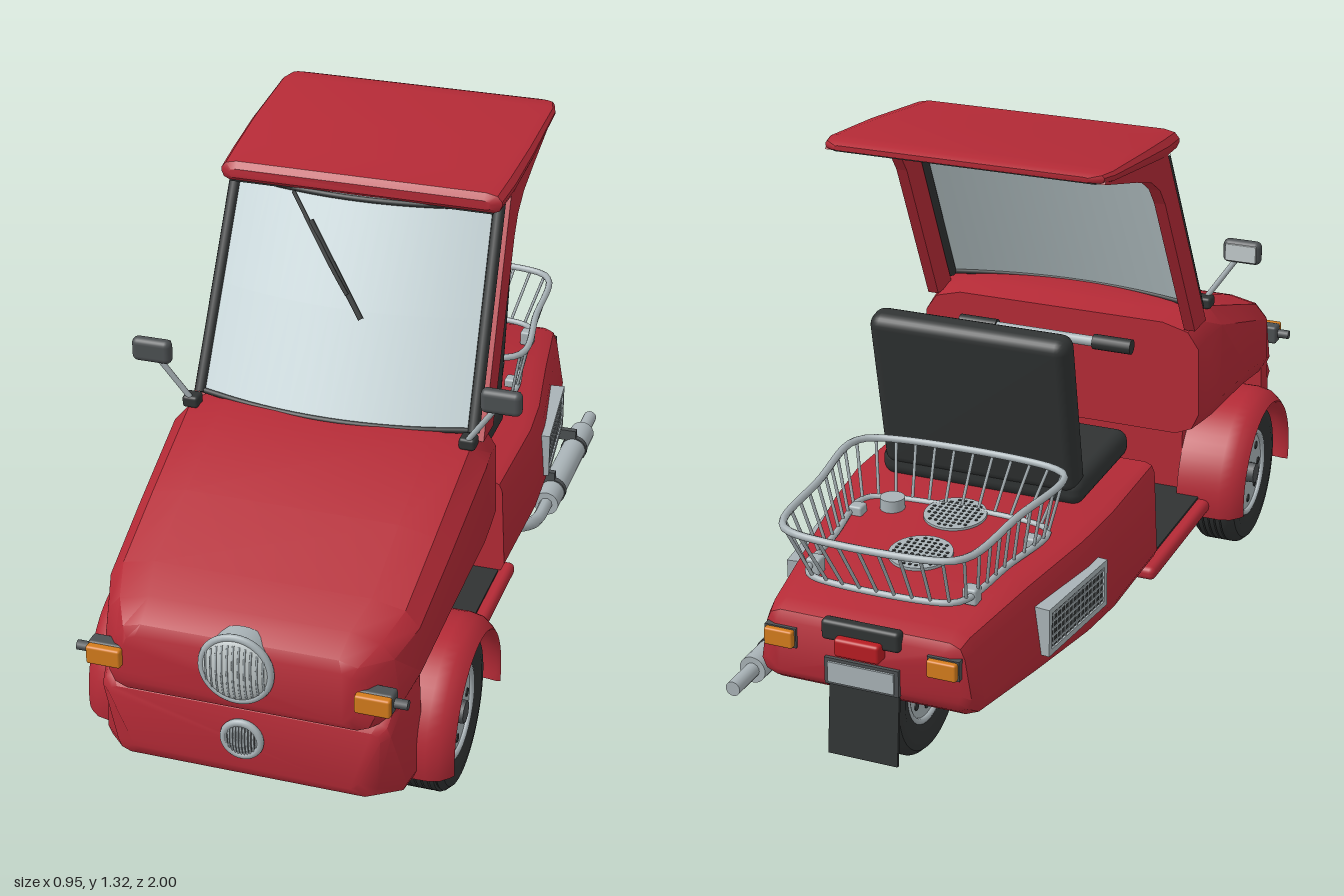
import * as THREE from 'three';
import { toCreasedNormals } from 'three/addons/utils/BufferGeometryUtils.js';
import { RoundedBoxGeometry } from 'three/addons/geometries/RoundedBoxGeometry.js';

const mat = (name, color, side = THREE.FrontSide) => {
  const m = new THREE.MeshStandardMaterial({ color, side });
  m.name = name;
  return m;
};
const V = (x, y, z) => new THREE.Vector3(x, y, z);

// Cross-section: rectangle with eased corners, counter-clockwise seen from the front
function ring(z, w, yb, yt, c, wt = w, k = 1) {
  const half = [[w - c, yb], [w - 0.3 * c, yb + 0.3 * c], [w, yb + c],
    [wt, yt - c], [wt - 0.3 * c * k, yt - 0.3 * c], [wt - c * k, yt]];
  return [...half, ...half.slice().reverse().map(([x, y]) => [-x, y])].map(([x, y]) => V(x, y, z));
}

// Closed skin over cross-sections listed from front to back
function loft(sections, crease = 0.6) {
  const n = sections[0].length, pos = [], idx = [];
  sections.forEach(s => s.forEach(p => pos.push(p.x, p.y, p.z)));
  for (let i = 0; i < sections.length - 1; i++) for (let j = 0; j < n; j++) {
    const a = i * n + j, b = i * n + (j + 1) % n;
    idx.push(a, a + n, b, b, a + n, b + n);
  }
  const last = (sections.length - 1) * n;
  for (let j = 1; j < n - 1; j++) idx.push(0, j, j + 1, last, last + j + 1, last + j);
  const g = new THREE.BufferGeometry();
  g.setAttribute('position', new THREE.Float32BufferAttribute(pos, 3));
  g.setIndex(idx);
  return toCreasedNormals(g, crease);
}

export function createModel() {
  const model = new THREE.Group();
  model.name = 'threeWheeledScooter';
  const red = mat('bodyRed', 0xb42a36, THREE.DoubleSide), dark = mat('blackRubber', 0x303333);
  const silver = mat('silver', 0xa8b2b6), glass = mat('windscreenGlass', 0xc6d5d8, THREE.DoubleSide);
  const orange = mat('indicatorOrange', 0xd47c1c), tail = mat('tailRed', 0xb81c22);
  const grey = mat('darkGrey', 0x4c5052), lens = mat('lensGrey', 0xc2cacb);

  const add = (name, geo, material, x = 0, y = 0, z = 0, rx = 0, ry = 0, rz = 0) => {
    const m = new THREE.Mesh(geo, material);
    m.name = name;
    m.position.set(x, y, z);
    m.rotation.set(rx, ry, rz);
    model.add(m);
    return m;
  };
  const box = (w, h, d) => new THREE.BoxGeometry(w, h, d);
  const soft = (w, h, d, r) => new RoundedBoxGeometry(w, h, d, 3, r);
  const cyl = (r, h, n = 24, r2 = r) => new THREE.CylinderGeometry(r, r2, h, n);
  const tube = (name, pts, r, m, closed = false) => add(name, new THREE.TubeGeometry(
    new THREE.CatmullRomCurve3(pts, closed, 'centripetal'), closed ? 80 : 4 * pts.length, r, 8, closed), m);
  const H = Math.PI / 2;

  // Front cowl and lower nose
  add('frontCowl', loft([
    ring(0.968, 0.27, 0.38, 0.51, 0.03), ring(0.955, 0.31, 0.36, 0.535, 0.04, 0.29, 1.5),
    ring(0.89, 0.35, 0.35, 0.567, 0.05, 0.335, 2), ring(0.80, 0.37, 0.38, 0.602, 0.055, 0.365, 2),
    ring(0.60, 0.38, 0.415, 0.675, 0.06, 0.375, 2), ring(0.34, 0.385, 0.435, 0.768, 0.065, 0.385, 2),
    ring(0.26, 0.38, 0.445, 0.757, 0.06, 0.375, 1.6), ring(0.2, 0.375, 0.45, 0.745, 0.06, 0.37, 1.6)]), red);
  add('lowerNose', loft([
    ring(0.945, 0.27, 0.19, 0.35, 0.02, 0.32), ring(0.93, 0.31, 0.165, 0.37, 0.03, 0.34),
    ring(0.87, 0.36, 0.148, 0.42, 0.03, 0.35), ring(0.78, 0.37, 0.145, 0.44, 0.03, 0.36)]), red);
  add('footwellBulkhead', box(0.54, 0.31, 0.42), red, 0, 0.305, 0.6);

  // Floor and mat
  add('floorPan', soft(0.72, 0.035, 0.48, 0.015), red, 0, 0.183, 0.17);
  add('floorMat', box(0.66, 0.006, 0.4), dark, 0, 0.203, 0.19);

  // Rear body
  add('rearBody', loft([
    ring(-0.01, 0.345, 0.2, 0.46, 0.025, 0.335), ring(-0.3, 0.352, 0.2, 0.465, 0.035, 0.342),
    ring(-0.45, 0.345, 0.203, 0.46, 0.045, 0.33), ring(-0.68, 0.31, 0.21, 0.448, 0.05, 0.29),
    ring(-0.92, 0.27, 0.225, 0.43, 0.045, 0.25), ring(-0.955, 0.255, 0.25, 0.415, 0.035, 0.24),
    ring(-0.967, 0.235, 0.27, 0.395, 0.025, 0.22)]), red);

  // Front fenders
  const fenderProfile = [[0.2, 0.27], [0.232, 0.27], [0.232, 0.385], [0.226, 0.415], [0.21, 0.436],
    [0.2, 0.445], [0.195, 0.435], [0.2, 0.41], [0.2, 0.27]].map(p => new THREE.Vector2(...p));
  for (const s of [1, -1]) {
    const phi = s > 0 ? Math.PI - 0.18 : -0.18;
    add('frontFender', toCreasedNormals(new THREE.LatheGeometry(fenderProfile, 32, phi, Math.PI + 0.36), 0.7),
      red, 0, 0.19, 0.585, 0, 0, -s * H);
  }

  // Wheels: grooved tyre, silver rim with holes, dark hub
  const tread = [[0.11, -0.05], [0.15, -0.062], [0.175, -0.058], [0.187, -0.045]];
  for (let i = -2; i <= 2; i++) {
    const x = i * 0.016;
    tread.push([0.19, x - 0.006], [0.19, x + 0.006], [0.183, x + 0.007], [0.183, x + 0.009]);
  }
  tread.push([0.187, 0.045], [0.175, 0.058], [0.15, 0.062], [0.11, 0.05]);
  const tyre = toCreasedNormals(new THREE.LatheGeometry(tread.map(p => new THREE.Vector2(...p)), 48), 0.6);
  for (const [x, z] of [[0.35, 0.585], [-0.35, 0.585], [0, -0.735]]) {
    add('tyre', tyre, dark, x, 0.19, z, 0, 0, -H);
    add('rim', cyl(0.113, 0.09, 40), silver, x, 0.19, z, 0, 0, -H);
    add('hub', cyl(0.028, 0.13, 8), grey, x, 0.19, z, 0, 0, -H);
    for (const s of [1, -1]) {
      add('rimEdge', new THREE.TorusGeometry(0.11, 0.008, 8, 40), silver, x + s * 0.047, 0.19, z, 0, H);
      for (let i = 0; i < 8; i++) {
        const a = i * Math.PI / 4;
        add('rimHole', cyl(0.011, 0.004, 10), dark, x + s * 0.045,
          0.19 + 0.078 * Math.sin(a), z + 0.078 * Math.cos(a), 0, 0, H);
      }
    }
  }

  // Curved windscreen and its dark frame
  const screen = (u, v, out = 0) => V(u * (0.335 - 0.015 * v), 0.76 + 0.475 * v, 0.345 - 0.245 * v - 0.055 * u * u + out);
  const pane = new THREE.PlaneGeometry(2, 1, 20, 2), pp = pane.attributes.position;
  for (let i = 0; i < pp.count; i++) {
    const p = screen(pp.getX(i), pp.getY(i) + 0.5);
    pp.setXYZ(i, p.x, p.y, p.z);
  }
  pane.computeVertexNormals();
  add('windscreen', pane, glass);
  const across = [-1, -0.6, -0.2, 0.2, 0.6, 1];
  for (const v of [0.01, 0.985]) tube('screenSeal', across.map(u => screen(u, v)), 0.007, dark);
  tube('wiperArm', [screen(-0.5, 0.98, 0.012), screen(-0.1, 0.68, 0.02), screen(0.03, 0.58, 0.02)], 0.005, dark);
  tube('wiperBlade', [screen(-0.33, 0.87, 0.012), screen(0.15, 0.475, 0.012)], 0.007, dark);

  // Pillars flaring back under the roof, with side seals
  const side = new THREE.Shape([[0.28, 0.735], [0.195, 0.735], [-0.01, 1.13], [-0.045, 1.175], [-0.1, 1.21],
    [-0.2, 1.242], [-0.4, 1.298], [-0.39, 1.31], [0, 1.27], [0.02, 1.235]].map(p => new THREE.Vector2(...p)));
  for (const s of [1, -1]) {
    const g = new THREE.ExtrudeGeometry(side, { depth: 0.028, bevelEnabled: false });
    g.translate(0, 0, -0.014).rotateY(-H);
    const p = g.attributes.position;
    for (let i = 0; i < p.count; i++) p.setX(i, p.getX(i) + s * (0.347 - 0.035 * (p.getY(i) - 0.74)));
    g.computeVertexNormals();
    add('pillar', g, red);
    tube('sideSeal', [screen(s * 1.01, 0), screen(s * 1.01, 1)], 0.015, dark);
  }

  // Roof and its dark lining
  const roofRings = [[0.108, 0.32, 1.243, 1.265], [0.095, 0.343, 1.232, 1.28], [0, 0.35, 1.238, 1.29],
    [-0.15, 0.354, 1.263, 1.305], [-0.36, 0.352, 1.294, 1.322], [-0.4, 0.34, 1.3, 1.322], [-0.417, 0.31, 1.304, 1.316]];
  add('roof', loft(roofRings.map(([z, w, b, t]) => ring(z, w, b, t, (t - b) * 0.4, w, 2))), red);
  add('roofLining', loft(roofRings.slice(1, 6).map(([z, w, b]) => ring(z, w - 0.02, b - 0.004, b + 0.003, 0.002))), dark);

  // Lamps with ribbed lenses
  const lamp = (name, y, r, z, m, dome) => {
    const d = add(name, new THREE.SphereGeometry(r, 32, 8, 0, Math.PI * 2, 0, H), m, 0, y, z, H);
    d.scale.y = dome / r;
    add(name + 'Rim', new THREE.TorusGeometry(r, 0.009, 10, 40), silver, 0, y, z);
    add(name + 'Shell', cyl(r, 0.05, 32), silver, 0, y, z - 0.026, H);
    for (let i = -5; i <= 5; i++) {
      const x = i * r / 6, h = Math.sqrt(r * r - x * x) * 0.85;
      const at = t => V(x, y + t * h, z + dome * Math.sqrt(Math.max(0, 1 - (x * x + t * t * h * h) / (r * r))));
      tube(name + 'Rib', [-1, -0.5, 0, 0.5, 1].map(at), 0.0025, silver);
    }
  };
  lamp('headlight', 0.478, 0.08, 0.975, lens, 0.022);
  lamp('lowerLamp', 0.276, 0.043, 0.952, grey, 0.01);

  // Front indicators and mirrors
  for (const s of [1, -1]) {
    add('indicatorLens', soft(0.082, 0.046, 0.022, 0.006), orange, s * 0.313, 0.448, 0.973);
    add('indicatorHousing', soft(0.088, 0.05, 0.04, 0.008), grey, s * 0.312, 0.448, 0.946);
    add('indicatorStub', cyl(0.012, 0.04, 10), grey, s * 0.366, 0.448, 0.95, 0, 0, H);
    add('mirrorMount', soft(0.04, 0.03, 0.04, 0.008), dark, s * 0.34, 0.762, 0.335);
    tube('mirrorStalk', [V(s * 0.34, 0.77, 0.345), V(s * 0.41, 0.875, 0.365)], 0.007, silver);
    add('mirrorHousing', soft(0.098, 0.06, 0.032, 0.015), grey, s * 0.424, 0.896, 0.367);
    add('mirrorGlass', soft(0.08, 0.044, 0.006, 0.002), lens, s * 0.424, 0.896, 0.35);
  }

  // Steering column and handlebar
  tube('steeringColumn', [V(0, 0.19, 0.355), V(0, 0.7, 0.105)], 0.02, grey);
  add('handlebar', cyl(0.013, 0.3, 16), silver, 0, 0.708, 0.102, 0, 0, H);
  for (const s of [1, -1]) add('grip', cyl(0.019, 0.1, 16), dark, s * 0.18, 0.708, 0.102, 0, 0, H);

  // Seat
  add('seatCushion', soft(0.52, 0.072, 0.34, 0.03), dark, 0, 0.495, -0.15);
  add('seatBack', soft(0.5, 0.42, 0.075, 0.03), dark, 0, 0.7, -0.325, -0.195);

  // Wire basket
  const loop = (y, wf, zf, wb, zb, c) => {
    const half = [[wf - c, zf], [wf, zf - c], [wb, zb + c], [wb - c, zb]];
    const mid = [half[0], half[1], [(wf + wb) / 2, (zf + zb) / 2], half[2], half[3]];
    return [...mid, ...mid.slice().reverse().map(([x, z]) => [-x, z])].map(([x, z]) => V(x, y, z));
  };
  const topLoop = loop(0.597, 0.268, -0.405, 0.225, -0.93, 0.04), lowLoop = loop(0.462, 0.238, -0.44, 0.192, -0.87, 0.03);
  tube('basketTopRail', topLoop, 0.009, silver, true);
  tube('basketLowerRail', lowLoop, 0.008, silver, true);
  const topCurve = new THREE.CatmullRomCurve3(topLoop, true, 'centripetal');
  const lowCurve = new THREE.CatmullRomCurve3(lowLoop, true, 'centripetal');
  for (let i = 0; i < 40; i++) tube('basketWire', [topCurve.getPointAt(i / 40), lowCurve.getPointAt(i / 40)], 0.004, silver);
  for (const s of [1, -1]) for (const [x, z] of [[0.222, -0.525], [0.192, -0.805]])
    add('basketFoot', soft(0.035, 0.04, 0.035, 0.006), silver, s * x, 0.458, z);

  // Round deck vents and filler cap
  for (const [z, y] of [[-0.655, 0.452], [-0.46, 0.462]]) {
    add('deckVent', cyl(0.075, 0.008, 32), silver, 0, y, z, -0.06);
    for (let i = -4; i <= 4; i++) for (let j = -4; j <= 4; j++) if (i * i + j * j < 19)
      add('ventHole', cyl(0.0045, 0.002, 6), dark, i * 0.015, y + 0.0045 + j * 0.0009, z + j * 0.015, -0.06);
  }
  add('fillerCap', cyl(0.03, 0.03, 20), silver, 0.155, 0.472, -0.475);

  // Side grilles
  for (const s of [1, -1]) {
    const g = new THREE.Group();
    g.name = 'sideGrille';
    const part = (geo, m, x, y, z) => {
      const p = new THREE.Mesh(geo, m);
      p.name = m === dark ? 'grilleBacking' : 'grilleBar';
      p.position.set(x, y, z);
      g.add(p);
    };
    part(box(0.03, 0.1, 0.27), dark, 0, 0, 0);
    for (const e of [1, -1]) {
      part(box(0.04, 0.014, 0.284), silver, 0, e * 0.052, 0);
      part(box(0.04, 0.118, 0.014), silver, 0, 0, e * 0.136);
    }
    for (let i = -6; i <= 6; i++) part(box(0.034, 0.1, 0.005), silver, 0, 0, i * 0.019);
    for (let i = -2; i <= 2; i++) part(box(0.034, 0.005, 0.27), silver, 0, i * 0.018, 0);
    g.position.set(s * 0.324, 0.327, -0.542);
    g.rotation.y = s * 0.11;
    model.add(g);
  }

  // Exhaust on the left side
  tube('exhaustPipe', [V(0.24, 0.2, -0.2), V(0.33, 0.193, -0.26), V(0.35, 0.178, -0.32), V(0.35, 0.168, -0.43)], 0.017, silver);
  add('muffler', cyl(0.033, 0.41, 24), silver, 0.35, 0.168, -0.63, H);
  add('exhaustTip', cyl(0.018, 0.1, 16), silver, 0.35, 0.168, -0.88, H);
  for (const z of [-0.5, -0.74]) {
    add('exhaustClamp', cyl(0.036, 0.016, 24), grey, 0.35, 0.168, z, H);
    add('exhaustBracket', box(0.07, 0.03, 0.016), grey, 0.32, 0.21, z);
  }

  // Rear lights, plate and mudflap
  for (const s of [1, -1]) {
    add('rearIndicator', soft(0.07, 0.042, 0.018, 0.005), orange, s * 0.197, 0.36, -0.98);
    add('rearIndicatorBase', box(0.076, 0.048, 0.02), grey, s * 0.197, 0.36, -0.965);
  }
  add('tailLightHousing', soft(0.19, 0.05, 0.03, 0.01), dark, 0, 0.4, -0.965);
  add('tailLight', soft(0.11, 0.045, 0.04, 0.008), tail, 0, 0.372, -0.98);
  add('plateHolder', box(0.18, 0.065, 0.012), grey, 0, 0.298, -0.97);
  add('plate', box(0.16, 0.05, 0.006), silver, 0, 0.298, -0.978);
  add('mudflap', box(0.17, 0.17, 0.008), dark, 0, 0.175, -0.968, 0.1);
  return model;
}
